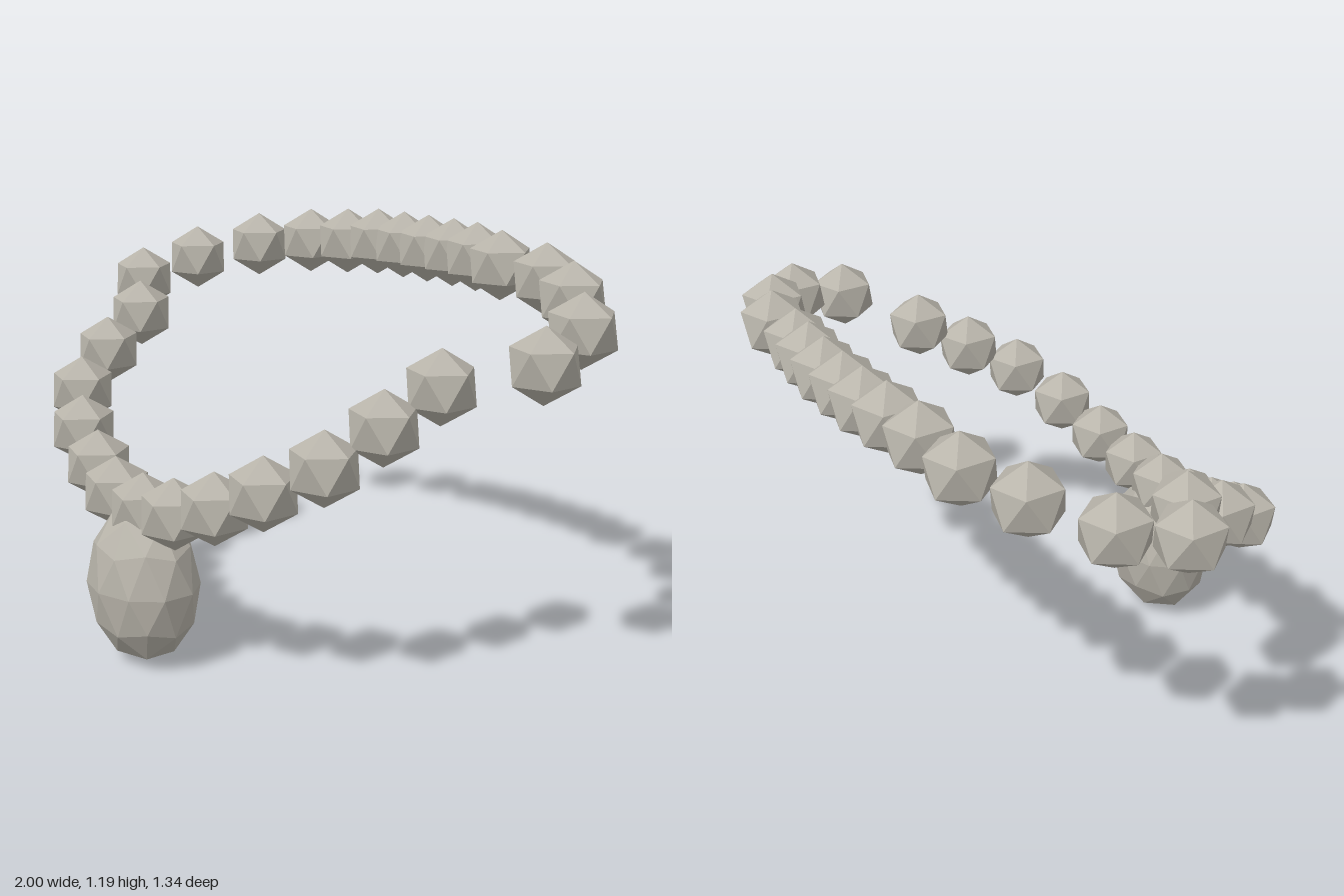
import * as THREE from 'three';

// Icosahedral sphere with a vertex pointing straight up
function uprightIco(detail) {
  const g = new THREE.IcosahedronGeometry(1, detail);
  g.rotateZ(-Math.atan(2 / (1 + Math.sqrt(5))));
  return g;
}

export function createModel() {
  const group = new THREE.Group();
  const stone = new THREE.MeshStandardMaterial({ color: 0xb8b4aa, flatShading: true });
  stone.name = 'stone';

  // Bead centres: [left x, right x, y, z], back to front
  const pairs = [
    [-0.11, 0.11, 1.09, -0.58],
    [-0.22, 0.22, 1.09, -0.57],
    [-0.345, 0.34, 1.08, -0.55],
    [-0.515, 0.53, 1.065, -0.535],
    [-0.695, 0.70, 1.04, -0.455],
    [-0.86, 0.86, 0.99, -0.315],
    [-0.905, 0.905, 0.93, -0.12],
    [-0.69, 0.695, 0.86, 0.04],
    [-0.65, 0.645, 0.765, 0.195],
    [-0.57, 0.585, 0.67, 0.345],
    [-0.435, 0.44, 0.585, 0.43],
    [-0.285, 0.285, 0.515, 0.475],
    [-0.145, 0.14, 0.47, 0.505],
  ];
  const centres = [[0, 1.09, -0.58], [0, 0.455, 0.51]];
  for (const [xl, xr, y, z] of pairs) centres.push([xl, y, z], [xr, y, z]);

  // String of beads
  const beadGeometry = uprightIco(0).scale(0.105, 0.105, 0.105);
  const beads = new THREE.Group();
  beads.name = 'beads';
  for (const c of centres) {
    const bead = new THREE.Mesh(beadGeometry, stone);
    bead.name = 'bead';
    bead.position.set(...c);
    beads.add(bead);
  }
  group.add(beads);

  // Oval pendant hanging at the front
  const pendant = new THREE.Mesh(uprightIco(1).scale(0.182, 0.235, 0.152), stone);
  pendant.name = 'pendant';
  pendant.position.set(0, 0.237, 0.517);
  group.add(pendant);

  return group;
}
